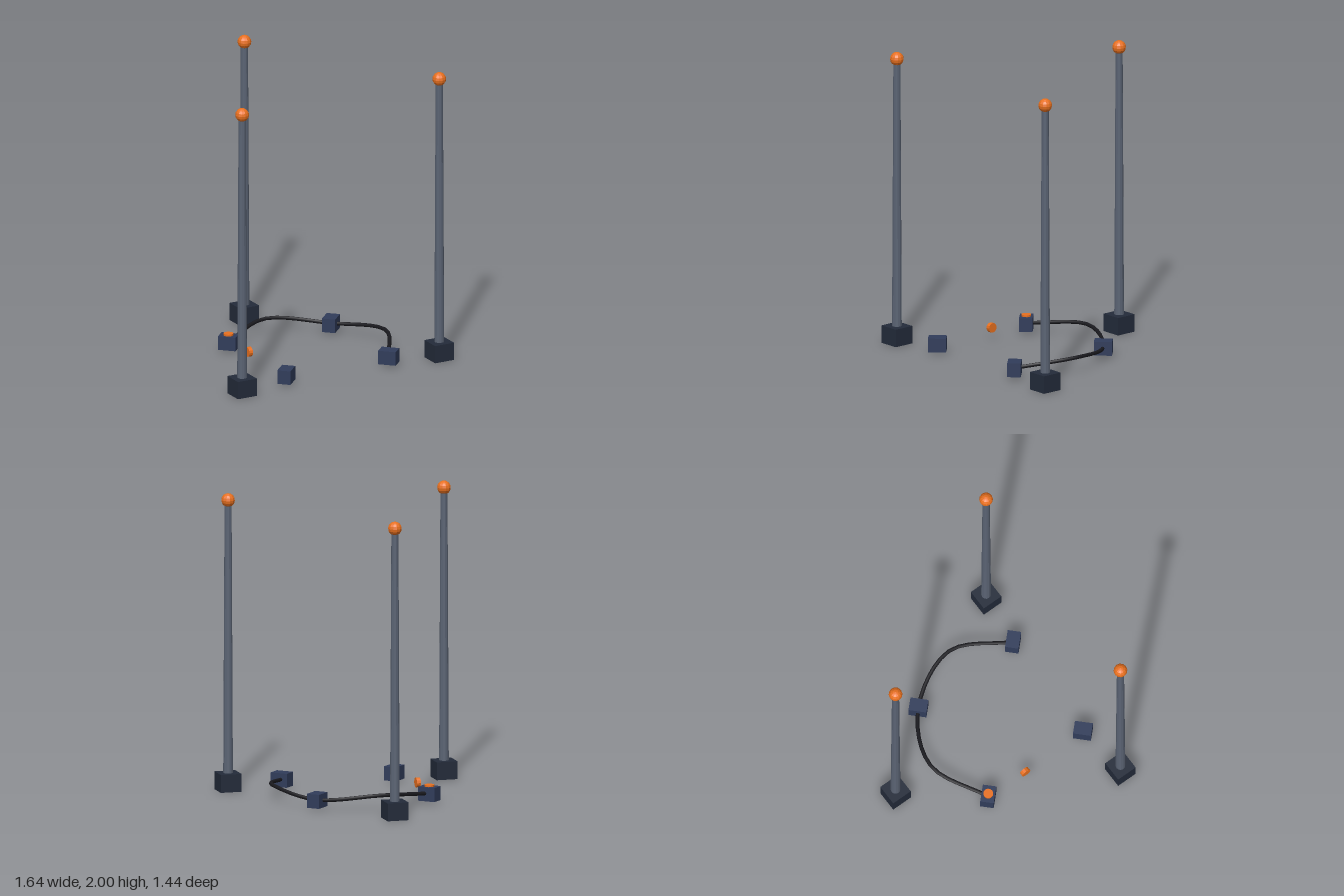
import * as THREE from 'three';

const paint = (color, flatShading = true) => new THREE.MeshStandardMaterial({ color, flatShading });

export function createModel() {
  const model = new THREE.Group();
  const baseMat = paint(0x232b3a), poleMat = paint(0x5a6373), boxMat = paint(0x303c5a);
  const orange = paint(0xe8701f), cableMat = paint(0x1a1a1f, false);
  const CZ = 0.216; // centre of the layout, along z

  const add = (parent, name, geometry, material, x, y, z) => {
    const mesh = new THREE.Mesh(geometry, material);
    mesh.name = name;
    mesh.position.set(x, y, z);
    parent.add(mesh);
    return mesh;
  };
  // point at a given angle and radius around the layout centre; angle 0 is the back
  const around = (degrees, radius, y) => {
    const a = THREE.MathUtils.degToRad(degrees);
    return new THREE.Vector3(Math.sin(a) * radius, y, CZ - Math.cos(a) * radius);
  };

  // three tall tapered posts with square feet and ball tips
  for (const angle of [0, 120, 240]) {
    const post = new THREE.Group();
    post.name = 'post';
    post.position.copy(around(angle, 0.864, 0));
    add(post, 'postBase', new THREE.BoxGeometry(0.144, 0.12, 0.144), baseMat, 0, 0.06, 0);
    add(post, 'postShaft', new THREE.CylinderGeometry(0.024, 0.033, 1.84, 12), poleMat, 0, 1.02, 0);
    add(post, 'postBall', new THREE.SphereGeometry(0.046, 12, 8), orange, 0, 1.954, 0);
    model.add(post);
  }

  // four small blocks, each turned to face the centre
  for (const angle of [45, 135, 225, 315]) {
    const p = around(angle, 0.55, 0.064);
    const block = add(model, 'block', new THREE.BoxGeometry(0.09, 0.094, 0.12), boxMat, p.x, p.y, p.z);
    block.rotation.y = -THREE.MathUtils.degToRad(angle);
  }

  // cable linking three blocks, rising between them
  const path = new THREE.CatmullRomCurve3([-45, 0, 45, 90, 135].map((angle, i) =>
    around(angle, i % 2 ? 0.576 : 0.55, i % 2 ? 0.106 : 0.064)));
  add(model, 'cable', new THREE.TubeGeometry(path, 24, 0.013, 8), cableMat, 0, 0, 0);

  // button on the back block and a loose plug standing on edge
  const disc = new THREE.CylinderGeometry(0.033, 0.033, 0.027, 12);
  add(model, 'button', disc, orange, -0.389, 0.11, -0.173);
  const plug = add(model, 'plug', disc, orange, -0.4, 0.084, 0.122);
  plug.rotation.z = Math.PI / 2;

  return model;
}
